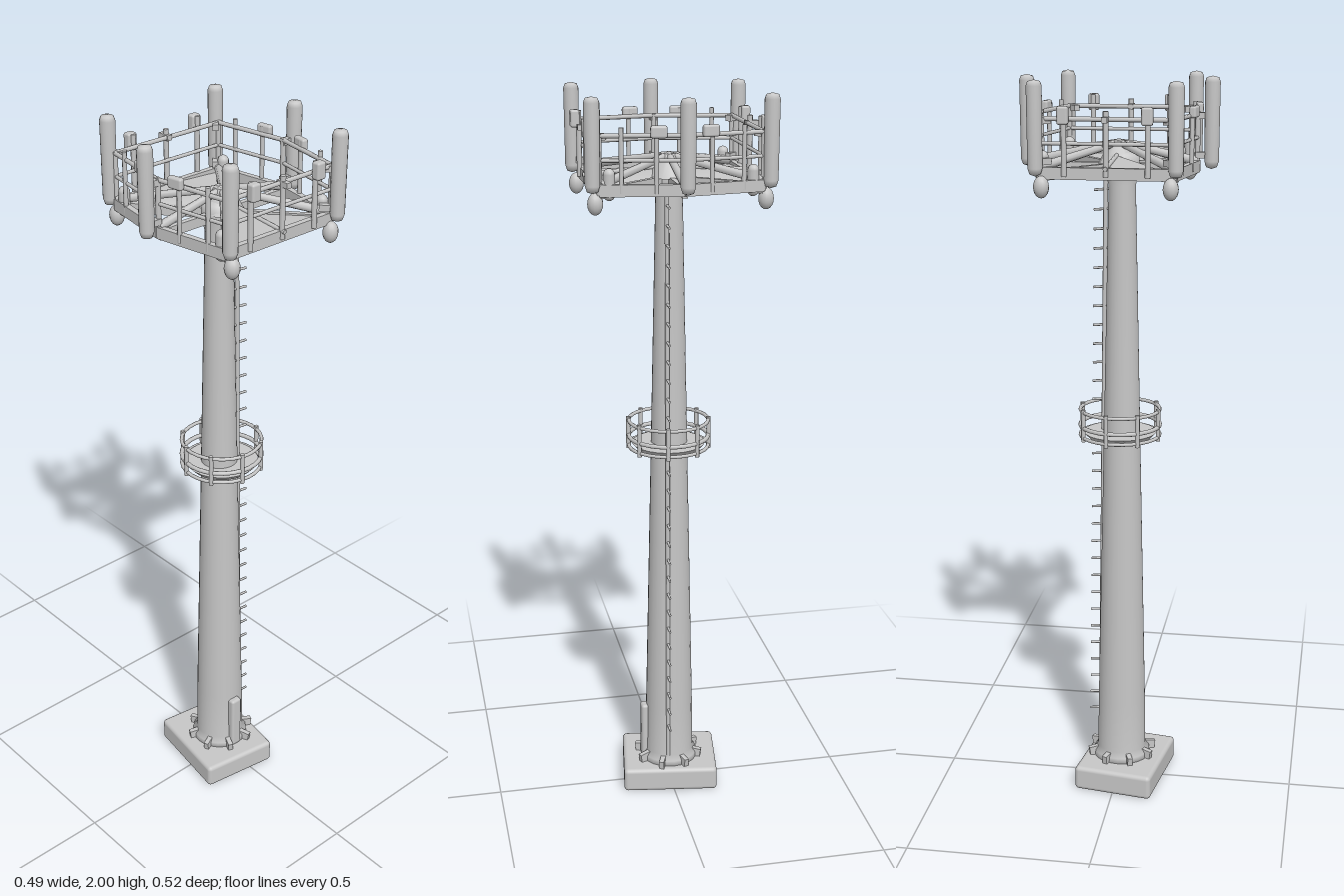
import * as THREE from 'three';
import { RoundedBoxGeometry } from 'three/addons/geometries/RoundedBoxGeometry.js';

export function createModel() {
  const model = new THREE.Group();
  model.name = 'antennaTower';
  const steel = new THREE.MeshStandardMaterial({ color: 0xc6c6c6, side: THREE.DoubleSide });
  steel.name = 'grey steel';
  const V = (x, y, z) => new THREE.Vector3(x, y, z);

  function add(name, geo, x = 0, y = 0, z = 0, parent = model) {
    const m = new THREE.Mesh(geo, steel);
    m.name = name;
    m.position.set(x, y, z);
    parent.add(m);
    return m;
  }
  // Round rod between two points
  function rod(name, a, b, r, r2 = r, parent = model) {
    const d = b.clone().sub(a);
    const m = add(name, new THREE.CylinderGeometry(r2, r, d.length(), 8), 0, 0, 0, parent);
    m.position.copy(a).add(b).multiplyScalar(0.5);
    m.quaternion.setFromUnitVectors(V(0, 1, 0), d.normalize());
    return m;
  }
  // Rectangular beam between two points
  function beam(name, a, b, w, h, parent = model) {
    const m = add(name, new THREE.BoxGeometry(w, h, a.distanceTo(b)), 0, 0, 0, parent);
    m.position.copy(a).add(b).multiplyScalar(0.5);
    m.lookAt(b);
    return m;
  }

  // Foundation slab, slightly turned
  const slab = add('foundation', new RoundedBoxGeometry(0.27, 0.07, 0.225, 3, 0.012), -0.005, 0.035, 0.02);
  slab.rotation.y = -0.15;

  // Tapered pole with foot flange
  const profile = [[0, 0.06], [0.082, 0.06], [0.08, 0.085], [0.069, 0.1], [0.067, 0.25],
    [0.051, 1.0], [0.036, 1.72], [0.045, 1.76], [0.045, 1.8], [0, 1.815]];
  add('pole', new THREE.LatheGeometry(profile.map(p => new THREE.Vector2(...p)), 24), -0.003, 0, 0.009);
  for (let i = 0; i < 8; i++) {
    const a = (i + 0.5) * Math.PI / 4;
    const c = Math.cos(a), s = Math.sin(a);
    beam('footGusset', V(c * 0.06, 0.083, 0.009 + s * 0.06), V(c * 0.097, 0.078, 0.009 + s * 0.097), 0.014, 0.03);
  }
  // Conduit box at the foot
  add('conduitBox', new RoundedBoxGeometry(0.028, 0.17, 0.035, 2, 0.008), 0.066, 0.155, 0.012);

  // Climbing pegs and their cable up the back
  const backZ = y => -0.054 + 0.02 * (y / 1.75);
  for (let y = 0.2; y < 1.72; y += 0.052) {
    if (y > 1.0 && y < 1.13) continue;
    rod('climbingPeg', V(0.012, y, backZ(y) + 0.01), V(0.012, y - 0.004, backZ(y) - 0.034), 0.0035);
  }
  rod('climbingCable', V(0.012, 0.1, backZ(0.1) - 0.003), V(0.012, 1.74, backZ(1.74) - 0.003), 0.006);

  // Middle service ring: deck, rails and posts
  const ring = new THREE.Group();
  ring.name = 'serviceRing';
  model.add(ring);
  add('ringDeck', new THREE.CylinderGeometry(0.1, 0.085, 0.016, 24), 0, 1.04, 0.003, ring);
  for (const [y, r] of [[1.04, 0.005], [1.068, 0.006], [1.112, 0.005]])
    add('ringRail', new THREE.TorusGeometry(0.109, r, 8, 28), 0, y, 0.003, ring).rotation.x = Math.PI / 2;
  for (let i = 0; i < 8; i++) {
    const a = i * Math.PI / 4 + 0.2;
    const x = Math.cos(a) * 0.11, z = Math.sin(a) * 0.11 + 0.003;
    rod('ringPost', V(x, 1.03, z), V(x, 1.12, z), 0.006, 0.006, ring);
  }

  // Head platform: hexagonal rim and railings
  const head = new THREE.Group();
  head.name = 'headPlatform';
  model.add(head);
  const corners = [[0.208, 0.17], [0, 0.205], [-0.208, 0.17], [-0.208, -0.17], [0, -0.205], [0.208, -0.17]];
  corners.forEach(([x, z], i) => {
    const [nx, nz] = corners[(i + 1) % 6];
    beam('platformRim', V(x, 1.772, z), V(nx, 1.772, nz), 0.016, 0.03, head);
    rod('middleRail', V(x, 1.845, z), V(nx, 1.845, nz), 0.005, 0.005, head);
    rod('topRail', V(x, 1.905, z), V(nx, 1.905, nz), 0.006, 0.006, head);
    rod('cornerPost', V(x, 1.76, z), V(x, 1.91, z), 0.007, 0.007, head);
    // Spoke rising to the hub
    rod('platformSpoke', V(x, 1.785, z), V(0, 1.83, 0), 0.012, 0.009, head);
    beam('lowerSpoke', V(x, 1.765, z), V(0, 1.765, 0), 0.014, 0.026, head);
  });

  // Hub on the pole top
  add('hub', new THREE.CylinderGeometry(0.022, 0.055, 0.06, 12), 0, 1.805, 0, head);

  for (const s of [-1, 1]) {
    // Sloping side deck panels
    const deck = new THREE.BufferGeometry();
    deck.setAttribute('position', new THREE.Float32BufferAttribute([
      s * 0.04, 1.77, -0.03, s * 0.208, 1.775, -0.165, s * 0.208, 1.785, 0,
      s * 0.04, 1.8, 0, s * 0.208, 1.775, 0.165, s * 0.04, 1.77, 0.03], 3));
    deck.setIndex(s > 0 ? [0, 3, 2, 0, 2, 1, 3, 5, 4, 3, 4, 2] : [0, 2, 3, 0, 1, 2, 3, 4, 5, 3, 2, 4]);
    deck.computeVertexNormals();
    add('sideDeck', deck, 0, 0, 0, head);
    rod('deckRib', V(s * 0.225, 1.785, 0), V(s * 0.03, 1.8, 0), 0.006, 0.006, head);
    rod('sidePost', V(s * 0.215, 1.765, 0), V(s * 0.215, 1.925, 0), 0.007, 0.007, head);
    beam('sideBracket', V(s * 0.2, 1.905, 0), V(s * 0.236, 1.905, 0), 0.014, 0.014, head);
    for (const t of [-1, 1]) {
      // Short posts with small radio units
      rod('railPost', V(s * 0.07, 1.765, t * 0.198), V(s * 0.07, 1.925, t * 0.198), 0.006, 0.006, head);
      add('radioUnit', new RoundedBoxGeometry(0.042, 0.03, 0.018, 2, 0.006), s * 0.065, 1.915, t * 0.203, head).rotation.y = s * t * 0.17;
      rod('railPost', V(s * 0.155, 1.765, t * 0.182), V(s * 0.155, 1.925, t * 0.182), 0.006, 0.006, head);
      rod('railPost', V(s * 0.217, 1.765, t * 0.105), V(s * 0.217, 1.935, t * 0.105), 0.007, 0.007, head);
      add('radioUnit', new RoundedBoxGeometry(0.024, 0.045, 0.028, 2, 0.006), s * 0.228, 1.915, t * 0.105, head);
      // Lower equipment pod beneath each corner
      const pod = add('cornerPod', new THREE.SphereGeometry(0.02, 14, 10), s * 0.218, 1.738, t * 0.163, head);
      pod.scale.y = 1.4;
      add('innerPod', new THREE.CapsuleGeometry(0.015, 0.05, 5, 12), s * 0.183, 1.785, t * 0.165, head);
    }
  }

  // Tall panel antennas with brackets
  for (const [x, z] of [[0.226, 0.176], [-0.226, 0.176], [0.226, -0.176], [-0.226, -0.176], [0, 0.242], [0, -0.242]]) {
    const antenna = new THREE.Group();
    antenna.name = 'antenna';
    antenna.position.set(x, 0, z);
    head.add(antenna);
    const shell = [[0, 1.765], [0.014, 1.77], [0.019, 1.785], [0.02, 1.985], [0.016, 1.996], [0, 2]];
    add('antennaShell', new THREE.LatheGeometry(shell.map(p => new THREE.Vector2(...p)), 16), 0, 0, 0, antenna);
    for (const y of [1.8, 1.9])
      beam('antennaBracket', V(x, y, z), V(x * 0.85, y, z * 0.83), 0.016, 0.016, head);
  }
  return model;
}
